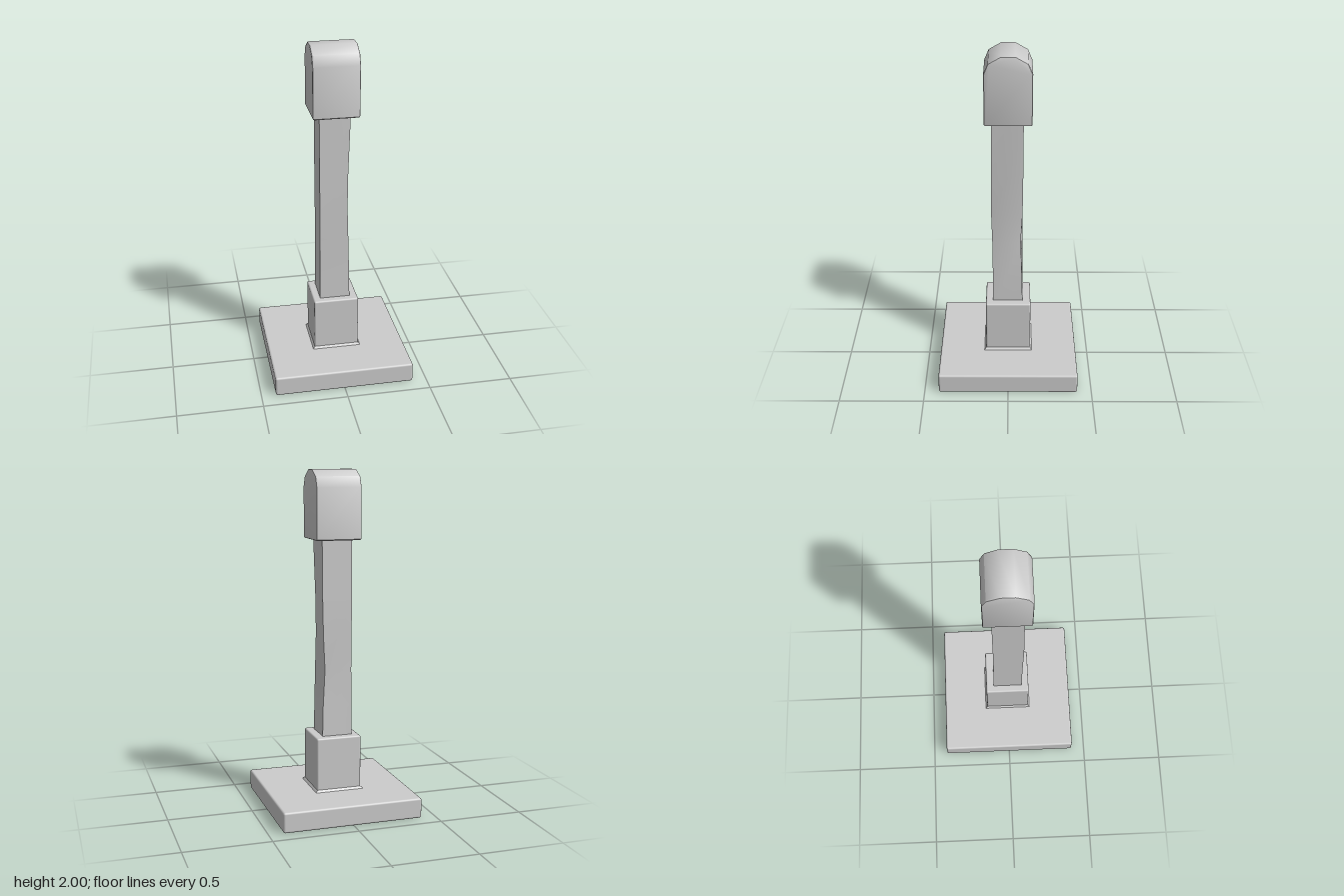
import * as THREE from 'three';
import { toCreasedNormals } from 'three/addons/utils/BufferGeometryUtils.js';
import { RoundedBoxGeometry } from 'three/addons/geometries/RoundedBoxGeometry.js';

export function createModel() {
  const group = new THREE.Group();
  const material = new THREE.MeshStandardMaterial({ color: 0xcccccc });
  const add = (name, geometry, y = 0) => {
    const mesh = new THREE.Mesh(geometry, material);
    mesh.name = name;
    mesh.position.y = y;
    group.add(mesh);
  };

  // Square foot plate and the socket block standing on it
  add('basePlate', new RoundedBoxGeometry(0.83, 0.12, 0.83, 2, 0.012), 0.06);
  add('socketBlock', new RoundedBoxGeometry(0.27, 0.345, 0.27, 2, 0.01), 0.2725);

  // Small flare where the block meets the plate
  const flare = new THREE.CylinderGeometry(0.135 * Math.SQRT2, 0.146 * Math.SQRT2, 0.014, 4, 1, true);
  flare.rotateY(Math.PI / 4);
  add('socketFlare', toCreasedNormals(flare, 0.5), 0.126);

  // Hewn shaft: rings of four corners with a midpoint on each side
  // [height, then x, z of the corners +x+z, +x-z, -x-z, -x+z]
  const rings = [
    [0.42, 0.088, 0.092, 0.088, -0.087, -0.092, -0.087, -0.092, 0.092],
    [0.62, 0.084, 0.092, 0.082, -0.082, -0.092, -0.087, -0.092, 0.092],
    [0.84, 0.078, 0.094, 0.068, -0.074, -0.09, -0.085, -0.092, 0.094],
    [1.04, 0.071, 0.1, 0.08, -0.084, -0.092, -0.085, -0.092, 0.098],
    [1.25, 0.074, 0.098, 0.085, -0.086, -0.092, -0.086, -0.092, 0.096],
    [1.62, 0.088, 0.094, 0.088, -0.087, -0.092, -0.087, -0.092, 0.094],
  ];
  const sides = 8;
  const positions = [];
  const indices = [];
  for (const [y, ...c] of rings) {
    for (let i = 0; i < 4; i++) {
      const j = (i + 1) % 4;
      const x = (c[2 * i] + c[2 * j]) / 2;
      const z = (c[2 * i + 1] + c[2 * j + 1]) / 2;
      // The +x side keeps a shallow crown between its worn edges
      positions.push(c[2 * i], y, c[2 * i + 1], i === 0 ? 0.086 : x, y, z);
    }
  }
  for (let r = 0; r < rings.length - 1; r++) {
    for (let i = 0; i < sides; i++) {
      const a = r * sides + i;
      const b = r * sides + (i + 1) % sides;
      indices.push(a, b, b + sides, a, b + sides, a + sides);
    }
  }
  const shaft = new THREE.BufferGeometry();
  shaft.setAttribute('position', new THREE.Float32BufferAttribute(positions, 3));
  shaft.setIndex(indices);
  add('shaft', toCreasedNormals(shaft, 0.7));

  // Cap: faceted arch profile swept from end to end, with bevelled edges
  const half = [[0.135, 1.606], [0.135, 1.9], [0.11, 1.96], [0.04, 2]];
  const outline = [
    [0.129, 1.6], ...half,
    ...half.map(([x, y]) => [-x, y]).reverse(), [-0.129, 1.6],
  ].map(([x, y]) => new THREE.Vector2(x, y));
  const bevel = 0.01;
  const cap = new THREE.ExtrudeGeometry(new THREE.Shape(outline), {
    depth: 0.27 - 2 * bevel,
    bevelSize: bevel,
    bevelThickness: bevel,
    bevelOffset: -bevel,
    bevelSegments: 2,
  });
  cap.translate(0, 0, bevel - 0.135);
  cap.rotateY(Math.PI / 2);
  add('cap', toCreasedNormals(cap, 0.7));

  return group;
}
